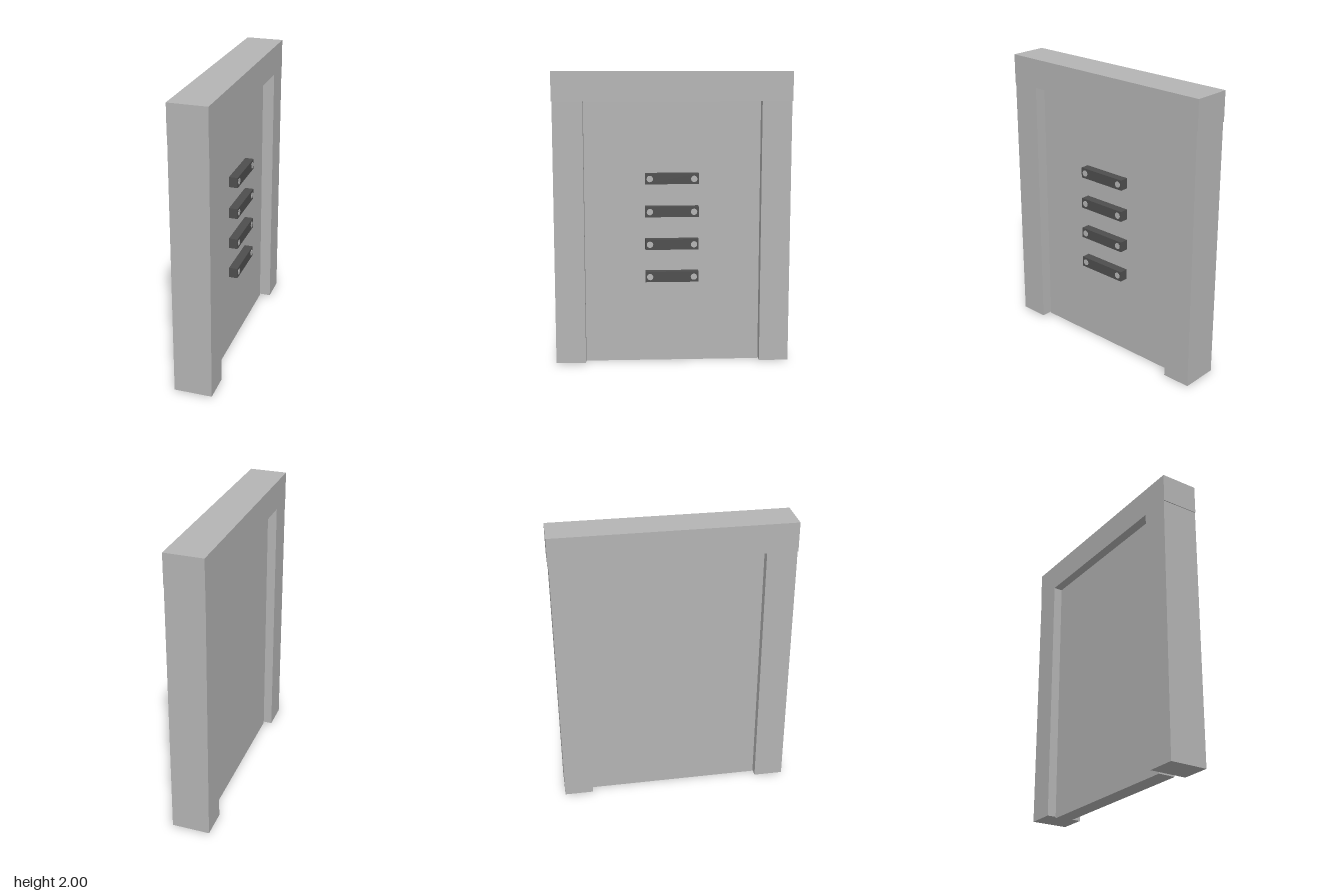
import * as THREE from 'three';

export function createModel() {
  const model = new THREE.Group();
  const grey = new THREE.MeshStandardMaterial({ color: 0xb4b4b4 });
  grey.name = 'light grey';
  const dark = new THREE.MeshStandardMaterial({ color: 0x4e4e4e });
  dark.name = 'dark grey';

  // Box given by its extents on each axis
  function box(name, material, [x0, x1], [y0, y1], [z0, z1], parent = model) {
    const mesh = new THREE.Mesh(new THREE.BoxGeometry(x1 - x0, y1 - y0, z1 - z0), material);
    mesh.position.set((x0 + x1) / 2, (y0 + y1) / 2, (z0 + z1) / 2);
    mesh.name = name;
    parent.add(mesh);
    return mesh;
  }

  // Door frame: two posts under a slightly wider lintel
  const depth = [-0.13, 0.13];
  box('leftPost', grey, depth, [0.01, 1.8], [0.6, 0.803]);
  box('rightPost', grey, depth, [0.01, 1.8], [-0.8, -0.6]);
  box('lintel', grey, depth, [1.8, 2], [-0.806, 0.808]);

  // Recessed door panel
  box('doorPanel', grey, [-0.067, 0.05], [0, 1.8], [-0.6, 0.6]);

  // Four bars on the door, each with a round stud near both ends
  const studGeometry = new THREE.CylinderGeometry(0.022, 0.022, 0.006, 12);
  studGeometry.rotateZ(-Math.PI / 2);
  for (let i = 0; i < 4; i++) {
    const y = 0.605 + i * 0.225;
    const bar = new THREE.Group();
    bar.name = 'doorBar' + (i + 1);
    box('bar', dark, [0.05, 0.11], [y - 0.036, y + 0.036], [-0.177, 0.187], bar);
    for (const z of [-0.145, 0.155]) {
      const stud = new THREE.Mesh(studGeometry, grey);
      stud.position.set(0.109, y, z);
      stud.name = 'stud';
      bar.add(stud);
    }
    model.add(bar);
  }
  return model;
}
